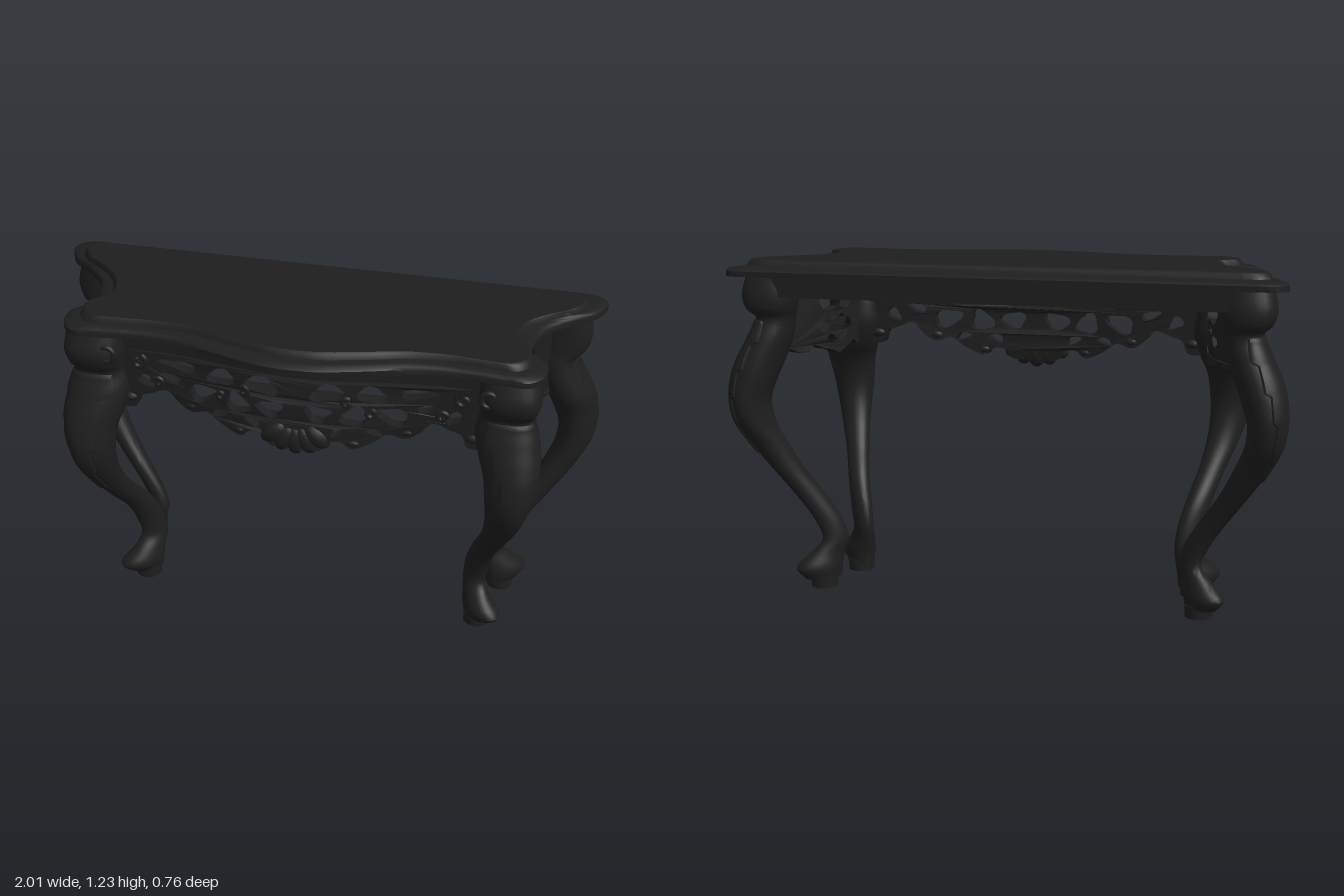
import * as THREE from 'three';
import { toCreasedNormals } from 'three/addons/utils/BufferGeometryUtils.js';

const V2 = (x, y) => new THREE.Vector2(x, y);
const V3 = (x, y, z) => new THREE.Vector3(x, y, z);
const { lerp, smoothstep } = THREE.MathUtils;
const ebony = new THREE.MeshStandardMaterial({ color: 0x1e1e1e, side: THREE.DoubleSide });
ebony.name = 'ebony';

function part(name, geometry, parent) {
  const mesh = new THREE.Mesh(geometry, ebony);
  mesh.name = name;
  parent.add(mesh);
  return mesh;
}

// Skin over cross-sections listed from top to bottom
function loft(rings, closed = true) {
  const n = rings[0].length, index = [];
  for (let i = 0; i < rings.length - 1; i++) {
    for (let j = 0; j < (closed ? n : n - 1); j++) {
      const a = i * n + j, b = i * n + (j + 1) % n;
      index.push(a, b, a + n, b, b + n, a + n);
    }
  }
  const g = new THREE.BufferGeometry().setFromPoints(rings.flat());
  g.setIndex(index);
  return toCreasedNormals(g, 0.7);
}

// Table top: half outline in x and z, mirrored
function topOutline() {
  const half = new THREE.SplineCurve([
    [0.9, -0.38], [0.95, -0.376], [0.985, -0.35], [0.993, -0.31], [0.955, -0.23], [0.877, -0.165], [0.81, -0.09],
    [0.775, 0], [0.77, 0.08], [0.8, 0.12], [0.835, 0.17], [0.825, 0.24], [0.78, 0.285],
    [0.7, 0.283], [0.55, 0.272], [0.4, 0.285], [0.25, 0.33], [0.1, 0.37], [0, 0.378],
  ].map(p => V2(...p))).getPoints(90);
  return half.concat(half.slice(0, -1).reverse().map(p => V2(-p.x, p.y)));
}

function addTop(parent) {
  const outline = topOutline();
  const steps = [[0.92, 0.82, 1.23], [0.93, 0.84, 1.225], [0.94, 0.86, 1.208], [0.965, 0.92, 1.205],
    [0.99, 0.98, 1.2], [1, 1, 1.192], [1, 1, 1.173]];
  part('tableTopEdge', loft(steps.map(([sx, sz, y]) => outline.map(p => V3(p.x * sx, y, p.y * sz)))), parent);
  for (const [name, [sx, sz, y], turn] of [['tableTopSurface', steps[0], -1], ['tableTopUnderside', steps[6], 1]]) {
    const g = new THREE.ShapeGeometry(new THREE.Shape(outline.map(p => V2(p.x * sx, turn * p.y * sz))));
    part(name, g.rotateX(turn * Math.PI / 2), parent).position.y = y;
  }
}

// Leg rows: y, inner x, outer x, back z, front z
const frontRows = [
  [1.175, 0.62, 0.82, 0.13, 0.28], [1.1, 0.62, 0.83, 0.13, 0.305], [1.05, 0.625, 0.82, 0.13, 0.29],
  [1.02, 0.62, 0.81, 0.13, 0.268], [0.95, 0.61, 0.83, 0.125, 0.29], [0.87, 0.63, 0.845, 0.14, 0.32],
  [0.8, 0.655, 0.845, 0.18, 0.34], [0.72, 0.665, 0.83, 0.2, 0.347], [0.64, 0.67, 0.81, 0.195, 0.325],
  [0.55, 0.665, 0.78, 0.165, 0.27], [0.45, 0.645, 0.74, 0.1, 0.2], [0.35, 0.615, 0.706, 0.025, 0.12],
  [0.25, 0.59, 0.682, -0.012, 0.075], [0.18, 0.584, 0.672, -0.02, 0.068], [0.13, 0.587, 0.695, -0.01, 0.11],
  [0.075, 0.592, 0.74, 0, 0.15], [0.035, 0.597, 0.715, 0.003, 0.115],
];
const backRows = [
  [1.175, 0.76, 0.94, -0.33, -0.17], [1.1, 0.76, 0.955, -0.345, -0.17], [1.05, 0.77, 0.94, -0.34, -0.17],
  [1.02, 0.78, 0.91, -0.32, -0.165], [0.95, 0.79, 0.935, -0.34, -0.16], [0.87, 0.815, 0.975, -0.362, -0.165],
  [0.8, 0.84, 0.995, -0.375, -0.19], [0.72, 0.865, 1.0, -0.38, -0.2], [0.64, 0.858, 0.985, -0.365, -0.198],
  [0.55, 0.82, 0.94, -0.318, -0.19], [0.45, 0.77, 0.872, -0.275, -0.17], [0.35, 0.705, 0.8, -0.238, -0.145],
  [0.25, 0.645, 0.735, -0.212, -0.128], [0.18, 0.625, 0.71, -0.208, -0.122], [0.13, 0.638, 0.75, -0.235, -0.122],
  [0.075, 0.645, 0.798, -0.268, -0.125], [0.035, 0.65, 0.77, -0.25, -0.13],
];

// Turn leans each section so the foot runs out along the toe
function makeLeg(name, rows, facing, turn, padX, padZ) {
  const leg = new THREE.Group();
  leg.name = name;
  const low = new THREE.CatmullRomCurve3(rows.map(r => V3(r[1], r[0], r[3])));
  const high = new THREE.CatmullRomCurve3(rows.map(r => V3(r[2], r[0], r[4])));
  const surface = (t, a, grow) => {
    const p = low.getPoint(t), q = high.getPoint(t);
    const rx = (q.x - p.x) / 2 + grow, rz = (q.z - p.z) / 2 + grow;
    const power = lerp(0.8, 1, smoothstep(t, 0.1, 0.45));
    const soft = v => Math.sign(v) * Math.pow(Math.abs(v), power);
    const lean = turn * lerp(0.08, 0.45, smoothstep(t, 0.4, 0.85));
    return V3((p.x + q.x) / 2 + rx * soft(Math.cos(a)), p.y, (p.z + q.z) / 2 + rz * soft(Math.sin(a + lean)));
  };
  const rings = [];
  for (let i = 0; i <= 64; i++) {
    rings.push(Array.from({ length: 28 }, (_, j) => surface(i / 64, j / 28 * Math.PI * 2, 0)));
  }
  const sole = rings[64].reduce((sum, p) => sum.add(p), V3(0, 0, 0)).divideScalar(28);
  rings.push(rings[64].map(() => sole));
  part('cabrioleShaft', loft(rings), leg);

  // Carved leaf with a toothed edge, over the knee
  const leaf = [];
  for (let i = 0; i <= 40; i++) {
    const s = i / 40, width = (1.35 - 0.9 * s) * (0.75 + 0.25 * ((i % 8) / 7));
    leaf.push(Array.from({ length: 13 }, (_, j) => {
      const u = j / 6 - 1;
      const grow = Math.abs(u) === 1 || i === 0 || i === 40 ? -0.004 : 0.004 + 0.004 * (1 - Math.abs(u));
      return surface(0.19 + 0.4 * s, facing + u * width, grow);
    }));
  }
  part('kneeLeaf', loft(leaf, false), leg);

  // Round foot pad
  part('footPad', new THREE.CylinderGeometry(0.05, 0.049, 0.045, 20), leg).position.set(padX, 0.0225, padZ);
  return leg;
}

// A pierced plate drawn flat, with bend(u, y, depth) giving each point's place
function piercedPlate(shape, depth, bend) {
  const g = new THREE.ExtrudeGeometry(shape, { depth, bevelEnabled: false, curveSegments: 10 });
  const pos = g.attributes.position;
  for (let i = 0; i < pos.count; i++) {
    pos.setXYZ(i, ...bend(pos.getX(i), pos.getY(i), pos.getZ(i)));
  }
  return toCreasedNormals(g, 0.6);
}

// Three-lobed opening
function opening(cx, cy, rx, ry, tilt, lobe) {
  return new THREE.Path(Array.from({ length: 24 }, (_, i) => {
    const a = i / 24 * Math.PI * 2, r = 1.04 + 0.16 * Math.cos(3 * a + lobe);
    const x = rx * r * Math.cos(a), y = ry * r * Math.sin(a);
    return V2(cx + x * Math.cos(tilt) - y * Math.sin(tilt), cy + x * Math.sin(tilt) + y * Math.cos(tilt));
  }));
}

// Front apron follows the bowed front edge
const apronZ = x => 0.2 + 0.06 * (0.5 + 0.5 * Math.cos(Math.PI * Math.min(1, Math.abs(x) / 0.52)));

function curl(cx, cy, size, start) {
  const points = Array.from({ length: 9 }, (_, i) => {
    const a = start + i * 0.75, r = size * (1 - i / 11);
    const x = cx + r * Math.cos(a);
    return V3(x, cy + r * Math.sin(a), apronZ(x) + 0.02);
  });
  return new THREE.TubeGeometry(new THREE.CatmullRomCurve3(points), 40, 0.009, 7);
}

function addFrontApron(parent) {
  const apron = new THREE.Group();
  apron.name = 'frontApron';
  parent.add(apron);
  const rail = [];
  for (let i = 0; i <= 40; i++) rail.push(V2(-0.65 + 1.3 * i / 40, -apronZ(-0.65 + 1.3 * i / 40) - 0.02));
  const plan = rail.concat(rail.slice().reverse().map(p => V2(p.x, p.y + 0.04)));
  const g = new THREE.ExtrudeGeometry(new THREE.Shape(plan), { depth: 0.07, bevelEnabled: false });
  part('apronRail', toCreasedNormals(g.rotateX(-Math.PI / 2), 0.6), apron).position.y = 1.105;

  // Pierced panel with a scalloped lower edge
  const edge = [[0.64, 0.87], [0.59, 0.875], [0.57, 0.92], [0.53, 0.935], [0.47, 0.955], [0.43, 0.915], [0.38, 0.885],
    [0.32, 0.9], [0.27, 0.865], [0.2, 0.835], [0.16, 0.862], [0.11, 0.855], [0.08, 0.82]];
  const bottom = new THREE.SplineCurve([...edge.map(([x, y]) => V2(-x, y)), ...edge.reverse().map(p => V2(...p))]);
  const shape = new THREE.Shape([V2(0.65, 1.11)]);
  for (let i = 0; i <= 30; i++) shape.lineTo(0.62 - 1.24 * i / 30, i % 30 ? 1.1 : 1.11);
  shape.lineTo(-0.65, 1.11);
  bottom.getPoints(100).forEach(p => shape.lineTo(p.x, p.y));
  const holes = [[0.42, 1.065, 0.065, 0.017, 0.1], [0.265, 1.053, 0.05, 0.03, -0.2], [0.115, 1.053, 0.058, 0.031, 0.2],
    [0.335, 0.972, 0.052, 0.032, -0.3], [0.205, 0.965, 0.044, 0.036, 0.5], [0.085, 0.968, 0.047, 0.031, -0.1],
    [0.45, 1.01, 0.036, 0.014, 0.3], [0.15, 0.9, 0.028, 0.014, 0.4], [0.275, 0.905, 0.028, 0.012, -0.3],
    [0.545, 0.985, 0.03, 0.02, 0.6]];
  holes.forEach(([x, y, rx, ry, tilt], i) => {
    shape.holes.push(opening(x, y, rx, ry, tilt, i), opening(-x, y, rx, ry, Math.PI - tilt, -i));
  });
  part('piercedPanel', piercedPlate(shape, 0.04, (x, y, d) => [x, y, apronZ(x) + d - 0.02]), apron);

  // Carved curls and leaf tips, one half and its mirror image
  const half = new THREE.Group();
  half.name = 'carving';
  for (const c of [[0.57, 1.06, 0.03, 2], [0.5, 0.985, 0.022, 0], [0.265, 0.985, 0.02, 3], [0.18, 1.02, 0.02, 1]]) {
    part('curl', curl(...c), half);
  }
  for (const [x, y, r] of [[0.2, 0.855, 0.032], [0.38, 0.908, 0.032], [0.61, 0.91, 0.038], [0.34, 1.03, 0.025]]) {
    const leaf = part('leafTip', new THREE.SphereGeometry(r, 12, 8), half);
    leaf.scale.set(1, 0.6, 0.8);
    leaf.position.set(x, y, apronZ(x));
  }
  const other = half.clone();
  other.scale.x = -1;
  apron.add(half, other);

  // Central shell
  for (let i = -2; i <= 2; i++) {
    const lobe = part('shellLobe', new THREE.SphereGeometry(0.055, 14, 10), apron);
    lobe.scale.set(0.65, 1, 0.5);
    lobe.rotation.z = i * 0.45;
    lobe.position.set(i * 0.038, 0.845 + 0.006 * i * i, apronZ(0));
  }
}

// Pierced side apron, drawn in z and y, then bent along the hollow side
function sideApron() {
  const shape = new THREE.Shape();
  shape.moveTo(-0.22, 1.175);
  shape.lineTo(-0.22, 0.9);
  shape.splineThru([[-0.16, 0.875], [-0.13, 0.9], [-0.09, 0.885], [-0.05, 0.875], [-0.02, 0.86],
    [0.01, 0.87], [0.05, 0.885], [0.09, 0.895], [0.12, 0.875], [0.18, 0.9]].map(p => V2(...p)));
  shape.lineTo(0.18, 1.175);
  const heart = new THREE.CatmullRomCurve3([[-0.1, 1.1], [-0.07, 1.113], [-0.05, 1.08], [-0.02, 1.065], [0.01, 1.08],
    [0.03, 1.113], [0.06, 1.1], [0.063, 1.05], [0.03, 1.02], [-0.02, 1.035], [-0.07, 1.02], [-0.103, 1.05]]
    .map(([x, y]) => V3(x, y, 0)), true);
  shape.holes.push(new THREE.Path(heart.getPoints(48).slice(0, -1).map(p => V2(p.x, p.y))));
  const slots = [[0.062, 0.965, 0.026, 0.017, 0.7], [0.03, 0.918, 0.024, 0.011, -0.5], [0.022, 0.995, 0.016, 0.009, 0.3]];
  for (const [dz, y, rx, ry, tilt] of slots) {
    for (const s of [-1, 1]) shape.holes.push(opening(-0.02 + s * dz, y, rx, ry, -s * tilt, 0));
  }
  return piercedPlate(shape, 0.035, (z, y, d) => [0.71 - d + 1.4 * Math.max(0, 0.1 - z) ** 2, y, z]);
}

export function createModel() {
  const table = new THREE.Group();
  table.name = 'consoleTable';
  addTop(table);
  addFrontApron(table);
  part('backRail', new THREE.BoxGeometry(1.66, 0.08, 0.04), table).position.set(0, 1.138, -0.31);

  // One side, then its mirror image
  const left = new THREE.Group();
  left.name = 'leftSide';
  left.add(makeLeg('frontLeg', frontRows, 1.2, 1, 0.65, 0.053), makeLeg('backLeg', backRows, -0.4, -1, 0.705, -0.19));
  part('sideApron', sideApron(), left);
  part('legScroll', new THREE.TorusGeometry(0.026, 0.01, 8, 20), left).position.set(0.66, 1.11, 0.282);
  const right = left.clone();
  right.name = 'rightSide';
  right.scale.x = -1;
  table.add(left, right);
  return table;
}
